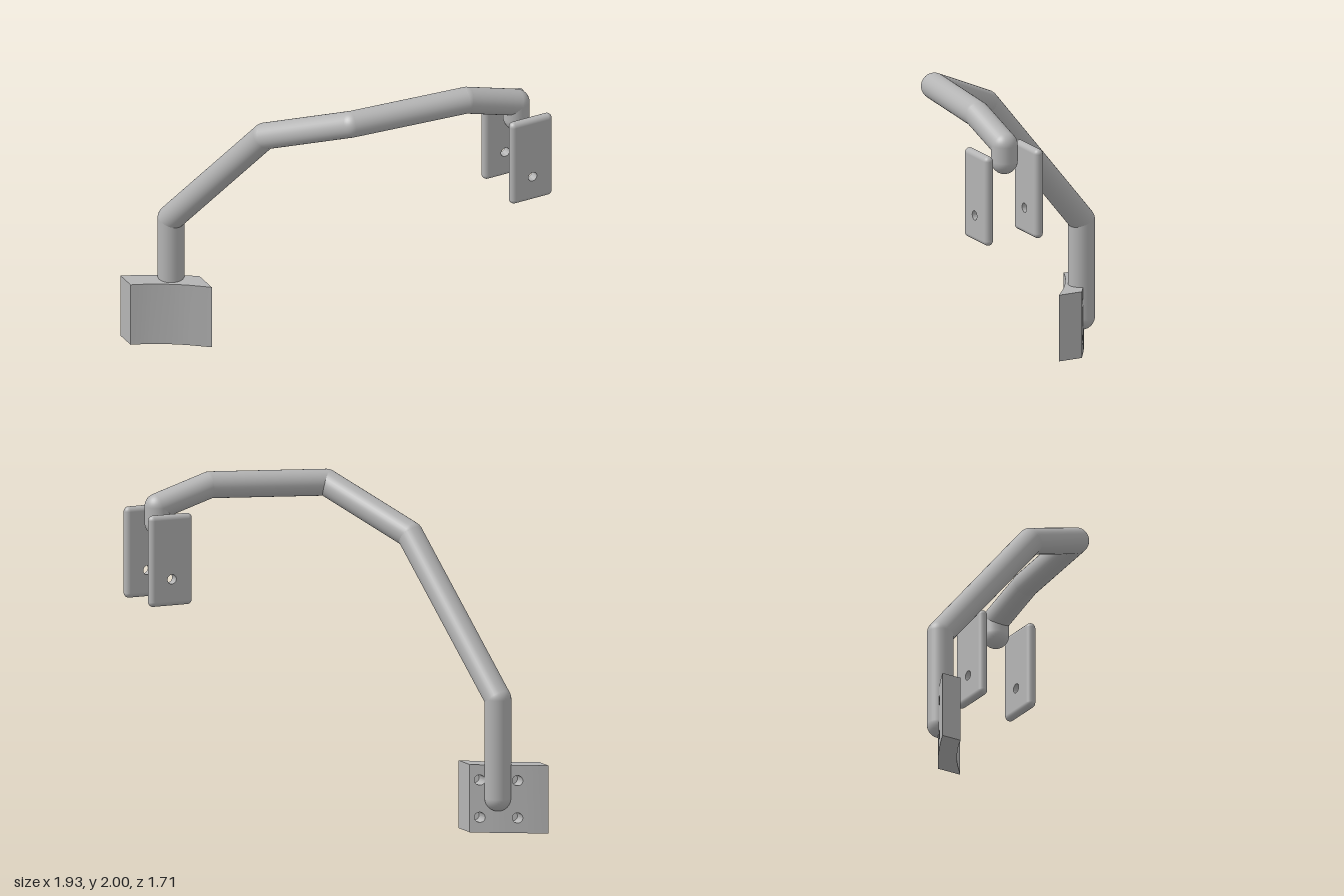
import * as THREE from 'three';
import { mergeGeometries, toCreasedNormals } from 'three/addons/utils/BufferGeometryUtils.js';

const R = 0.078; // tube radius
const grey = new THREE.MeshStandardMaterial({ color: 0xb4b4b4 });
grey.name = 'plain grey';

function add(parent, name, geometry) {
  const mesh = new THREE.Mesh(geometry, grey);
  mesh.name = name;
  parent.add(mesh);
  return mesh;
}

// Bent round tube: straight runs with ball joints and ball ends
function createTube() {
  const tube = new THREE.Group();
  tube.name = 'bentTube';
  const points = [
    [-0.715, 0.205, -0.708], [-0.715, 0.79, -0.708], [-0.505, 1.652, 0.045],
    [-0.206, 1.9, 0.55], [0.495, 1.922, 0.654], [0.825, 1.82, 0.656], [0.825, 1.724, 0.656],
  ].map((p) => new THREE.Vector3(...p));
  const up = new THREE.Vector3(0, 1, 0);
  points.forEach((p, i) => {
    add(tube, 'tubeJoint', new THREE.SphereGeometry(R, 32, 20)).position.copy(p);
    if (i === 0) return;
    const dir = p.clone().sub(points[i - 1]);
    const run = add(tube, 'tubeRun', new THREE.CylinderGeometry(R, R, dir.length(), 32, 1, true));
    run.position.copy(p).add(points[i - 1]).multiplyScalar(0.5);
    run.quaternion.setFromUnitVectors(up, dir.normalize());
  });
  return tube;
}

// Upright plate with rounded rim and one through hole
function createPlate(name, z) {
  const plate = new THREE.Group();
  plate.name = name;
  plate.position.set(0.825, 1.531, z);
  const r = 0.029, w = 0.1375 - r, h = 0.269 - r;
  const shape = new THREE.Shape([[-w, -h], [w, -h], [w, h], [-w, h]].map((p) => new THREE.Vector2(...p)));
  shape.holes.push(new THREE.Path().absarc(0, -0.11, 0.028, 0, Math.PI * 2, true));
  const panel = new THREE.ExtrudeGeometry(shape, { depth: 2 * r, bevelEnabled: false, curveSegments: 24 });
  panel.translate(0, 0, -r);
  add(plate, 'platePanel', toCreasedNormals(panel, 0.6));
  for (const s of [-1, 1]) {
    add(plate, 'plateSideRim', new THREE.CapsuleGeometry(r, 2 * h, 8, 20)).position.x = s * w;
    const rim = add(plate, 'plateEndRim', new THREE.CapsuleGeometry(r, 2 * w, 8, 20));
    rim.rotation.z = Math.PI / 2;
    rim.position.y = s * h;
  }
  return plate;
}

// Curved mounting block: flat strips sheared onto two arcs in plan
const arc = (x, z0, z1, sag) => {
  const t = (x + 0.97) / 0.4;
  return z0 + (z1 - z0) * t - 4 * sag * t * (1 - t);
};
function blockLayer(w0, w1, drilled) {
  const xs = [-0.97, -0.92, -0.86, -0.76, -0.715, -0.67, -0.57];
  const strips = [];
  for (let i = 0; i < xs.length - 1; i++) {
    const [a, b] = [xs[i], xs[i + 1]];
    const shape = new THREE.Shape([[a, 0], [b, 0], [b, 0.4], [a, 0.4]].map((p) => new THREE.Vector2(...p)));
    const hx = [-0.81, -0.62].find((x) => x > a && x < b);
    if (drilled && hx !== undefined) {
      for (const hy of [0.09, 0.31]) {
        shape.holes.push(new THREE.Path().absellipse(hx, hy, 0.027, 0.03, 0, Math.PI * 2, true));
      }
    }
    const geo = new THREE.ExtrudeGeometry(shape, { depth: 1, bevelEnabled: false, curveSegments: 20 });
    const pos = geo.attributes.position;
    for (let k = 0; k < pos.count; k++) {
      // Hole rims stay on the flat facet between the strip's two edges
      const f = (pos.getX(k) - a) / (b - a);
      const edge = (z0, z1, s) => arc(a, z0, z1, s) * (1 - f) + arc(b, z0, z1, s) * f;
      const back = edge(-0.854, -0.63, 0.012);
      const front = edge(-0.73, -0.478, 0.025);
      pos.setZ(k, back + (front - back) * (w0 + (w1 - w0) * pos.getZ(k)));
    }
    strips.push(geo);
  }
  return toCreasedNormals(mergeGeometries(strips), 0.5);
}

export function createModel() {
  const model = new THREE.Group();
  model.name = 'bentTubeBracket';
  model.add(createTube());
  model.add(createPlate('frontPlate', 0.825), createPlate('rearPlate', 0.494));
  const block = new THREE.Group();
  block.name = 'mountingBlock';
  add(block, 'drilledBackHalf', blockLayer(0, 0.6, true));
  add(block, 'solidFrontHalf', blockLayer(0.6, 1, false));
  model.add(block);
  return model;
}
